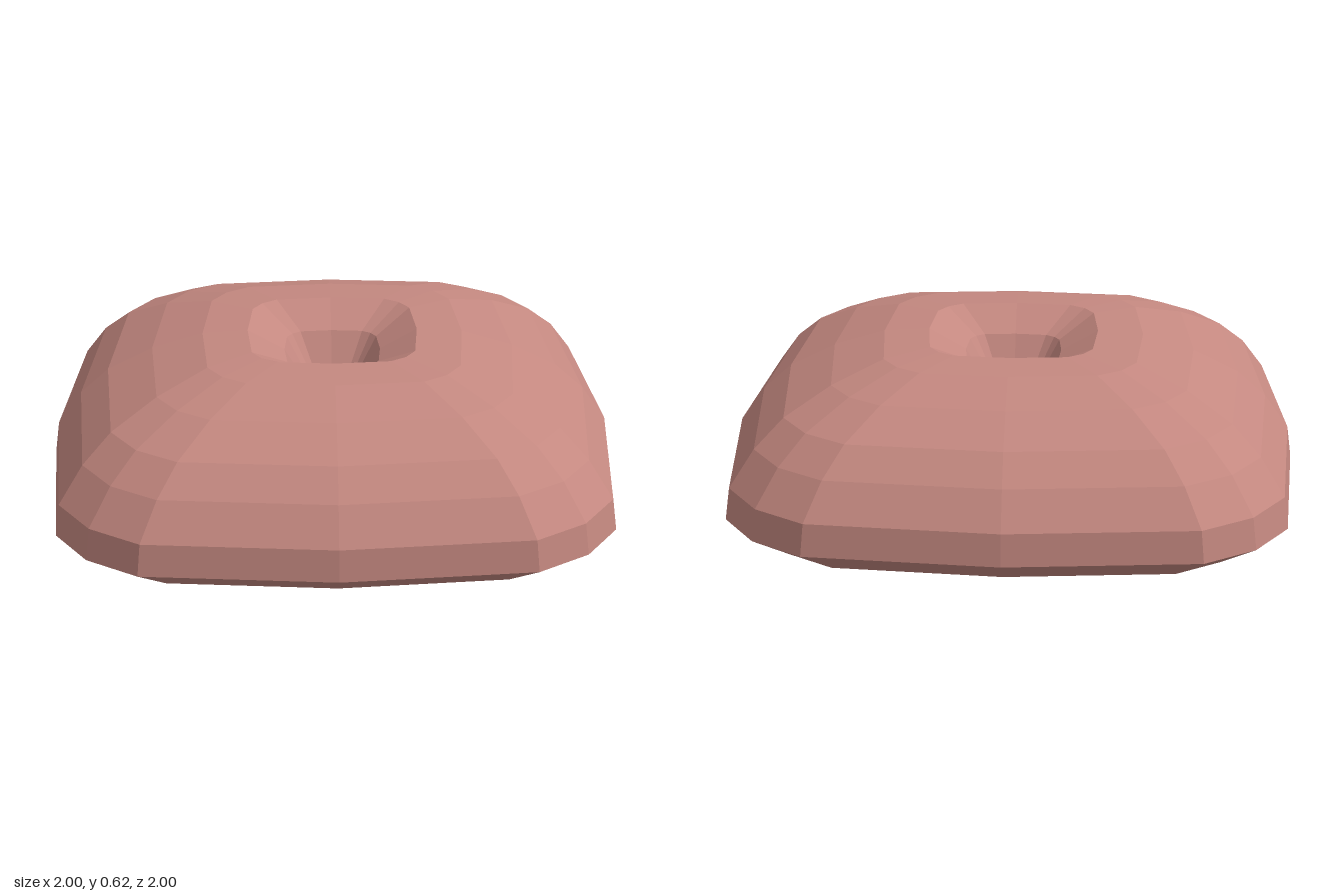
import * as THREE from 'three';

const upholstery = new THREE.MeshStandardMaterial({ color: 0xc48880 });
upholstery.name = 'dusty rose fabric';

// Profile as [scale of outline, height], from the underside round to the dimple
const profile = [
  [0, 0], [0.64, 0.005], [0.87, 0.055], [1, 0.15], [0.985, 0.26], [0.9, 0.38],
  [0.8, 0.47], [0.64, 0.55], [0.46, 0.605], [0.3, 0.615], [0.17, 0.54], [0.05, 0.34], [0, 0.34],
];

// One quarter of the rounded-square outline, as [x, z]
const quarter = [[0, 1], [0.655, 0.945], [0.83, 0.83], [0.945, 0.655]];

// Repeat the quarter outline by turning it 90 degrees each time
function outlinePoint(i) {
  let [x, z] = quarter[i % 4];
  for (let turn = 0; turn < Math.floor(i / 4) % 4; turn++) [x, z] = [z, -x];
  return [x, z];
}

// Lathe whose round cross-section is replaced by the rounded square
function cushionGeometry() {
  const lathe = new THREE.LatheGeometry(profile.map(([r, y]) => new THREE.Vector2(r, y)), 16);
  const pos = lathe.attributes.position;
  const rings = profile.length;
  for (let v = 0; v < pos.count; v++) {
    const [x, z] = outlinePoint(Math.floor(v / rings));
    const [scale, y] = profile[v % rings];
    pos.setXYZ(v, x * scale, y, z * scale);
  }
  // Separate faces for a faceted look
  const faceted = lathe.toNonIndexed();
  faceted.computeVertexNormals();
  return faceted;
}

export function createModel() {
  const model = new THREE.Group();
  model.name = 'tuftedCushion';
  const cushion = new THREE.Mesh(cushionGeometry(), upholstery);
  cushion.name = 'cushion';
  model.add(cushion);
  return model;
}
